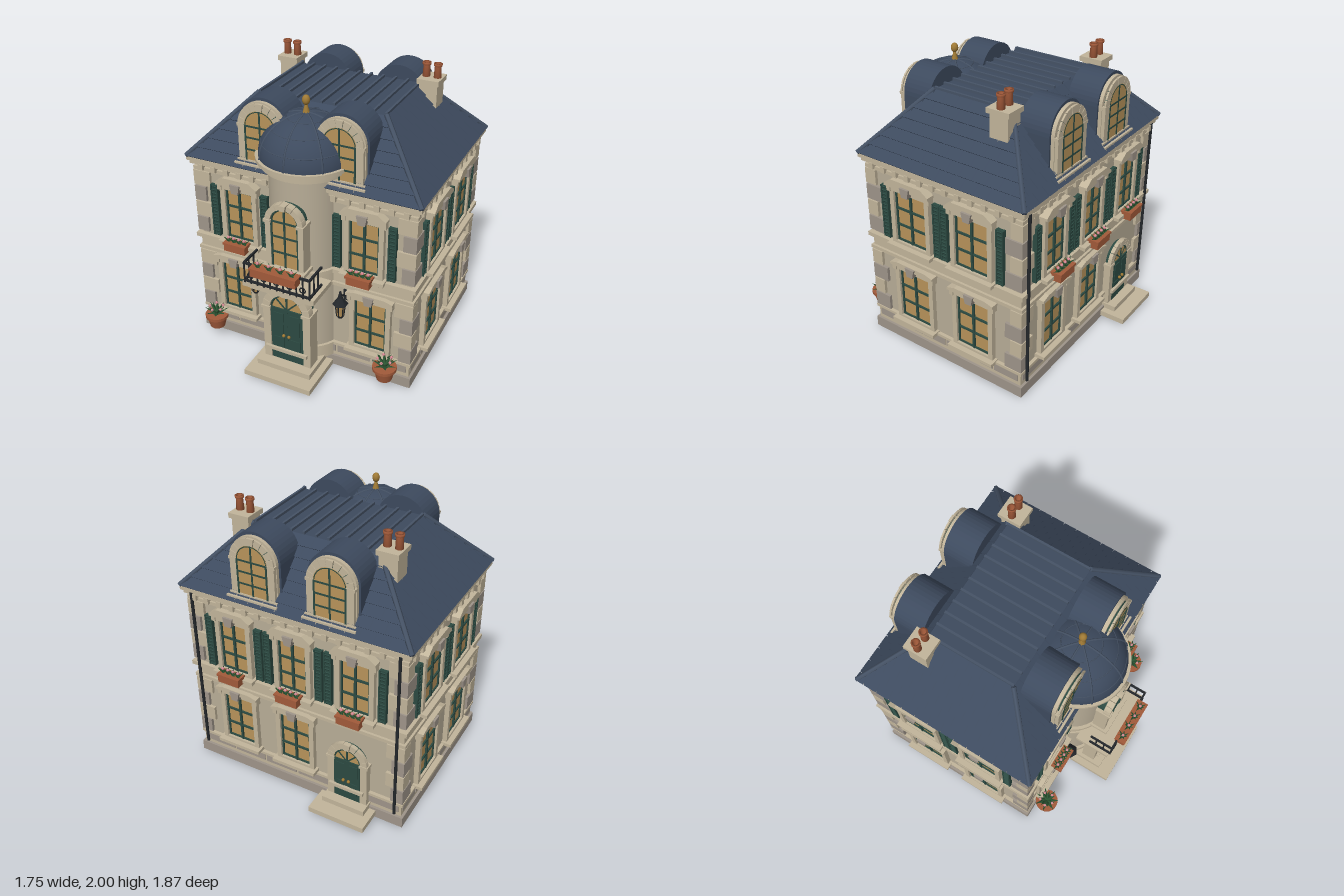
import * as THREE from 'three';

const C = { wall: 0xb8ad97, trim: 0xc2b59b, stone: 0x9f958a, roof: 0x3d4a5e, seam: 0x465366, green: 0x2c4a42,
  glass: 0xb8935a, clay: 0xa25a3a, iron: 0x23272b, gold: 0xa07a35, leaf: 0x2f5a36, pink: 0xd58a94 };
const mats = {};
const mat = (c) => mats[c] ??= new THREE.MeshStandardMaterial({ color: c });

function add(parent, name, geo, color, x = 0, y = 0, z = 0) {
  const m = new THREE.Mesh(geo, mat(color));
  m.name = name;
  m.position.set(x, y, z);
  parent.add(m);
  return m;
}
const box = (p, name, c, w, h, d, x, y, z) => add(p, name, new THREE.BoxGeometry(w, h, d), c, x, y, z);
const cyl = (p, name, c, rt, rb, h, x, y, z, n = 16) => add(p, name, new THREE.CylinderGeometry(rt, rb, h, n), c, x, y, z);
const extrude = (shape, depth) => new THREE.ExtrudeGeometry(shape, { depth, bevelEnabled: false, curveSegments: 10 });
const poly = (pts) => new THREE.Shape(pts.map(([x, y]) => new THREE.Vector2(x, y)));
const rect = (w, y0, y1) => poly([[-w, y0], [w, y0], [w, y1], [-w, y1]]);
function group(parent, name, x = 0, y = 0, z = 0, ry = 0) {
  const g = new THREE.Group();
  g.name = name;
  g.position.set(x, y, z);
  g.rotation.y = ry;
  parent.add(g);
  return g;
}
function rod(parent, name, c, a, b, r, n = 6) {
  const d = new THREE.Vector3().subVectors(b, a);
  const m = cyl(parent, name, c, r, r, d.length(), 0, 0, 0, n);
  m.position.copy(a).addScaledVector(d, 0.5);
  m.quaternion.setFromUnitVectors(new THREE.Vector3(0, 1, 0), d.normalize());
}
function archShape(hw, y0, spring) {
  const s = new THREE.Shape();
  s.moveTo(-hw, y0);
  s.lineTo(hw, y0);
  s.lineTo(hw, spring);
  s.absarc(0, spring, hw, 0, Math.PI, false);
  return s;
}

// Leafy plant with small flowers
function plant(parent, x, y, z, len, leaves, flowers) {
  const g = group(parent, 'plant', x, y, z);
  for (let i = 0; i < leaves; i++) {
    const geo = new THREE.ConeGeometry(len * 0.22, len, 4).scale(1, 1, 0.4).translate(0, len / 2, 0);
    geo.rotateX(i % 2 ? 1.15 : 0.7).rotateY((i / leaves) * Math.PI * 2);
    add(g, 'leaf', geo, C.leaf);
  }
  for (let i = 0; i < flowers; i++) {
    const a = (i / flowers) * Math.PI * 2 + 0.4, r = flowers > 1 ? len * 0.5 : 0;
    add(g, 'flower', new THREE.IcosahedronGeometry(0.012, 0), C.pink, Math.cos(a) * r, len * 0.62, Math.sin(a) * r);
  }
}
function flowerBox(parent, w, n, x, y, z) {
  const g = group(parent, 'flowerBox', x, y, z);
  box(g, 'trough', C.clay, w, 0.055, 0.07, 0, 0, 0);
  box(g, 'troughRim', C.clay, w + 0.012, 0.015, 0.082, 0, 0.03, 0);
  for (let i = 0; i < n; i++) plant(g, ((i + 0.5) / n - 0.5) * w, 0.035, 0, 0.05, 7, 1);
}

// Rectangular window on a wall facing +z
function windowUnit(face, x, y0, w, h, upper, boxed) {
  const g = group(face, upper ? 'upperWindow' : 'lowerWindow', x, y0, 0);
  const hw = w / 2, surround = rect(hw + 0.035, -0.03, h + 0.04);
  surround.holes.push(rect(hw, 0, h));
  add(g, 'surround', extrude(surround, 0.035), C.trim);
  box(g, 'glass', C.glass, w, h, 0.012, 0, h / 2, 0.002);
  for (const s of [-1, 1]) {
    box(g, 'sash', C.green, 0.012, h, 0.02, s * (hw - 0.006), h / 2, 0.008);
    box(g, 'sash', C.green, w, 0.012, 0.02, 0, s > 0 ? h - 0.006 : 0.006, 0.008);
    box(g, 'muntin', C.green, w, 0.013, 0.02, 0, h * (s > 0 ? 0.66 : 0.33), 0.01);
    box(g, 'lintelBracket', C.trim, 0.03, 0.05, 0.045, s * (hw + 0.035), h + 0.02, 0.022);
    box(g, 'sillBracket', C.trim, 0.03, 0.03, 0.045, s * hw, -0.055, 0.022);
  }
  box(g, 'mullion', C.green, 0.016, h, 0.024, 0, h / 2, 0.01);
  box(g, 'sill', C.trim, w + 0.11, 0.025, 0.075, 0, -0.03, 0.037);
  const a = hw + 0.055, rise = upper ? 0.06 : 0.035;
  add(g, 'hood', extrude(poly([[-a, 0], [a, 0], [a, 0.018], [a - 0.06, rise], [-a + 0.06, rise], [-a, 0.018]]), 0.06), C.trim, 0, h + 0.04);
  add(g, 'keystone', extrude(poly([[-0.025, 0], [0.025, 0], [0.038, 0.065], [-0.038, 0.065]]), 0.075), C.stone, 0, h + 0.005);
  if (upper) for (const s of [-1, 1]) shutter(g, s * (hw + 0.09), h);
  if (boxed) flowerBox(g, 0.165, 4, 0, -0.025, 0.09);
}
function shutter(parent, x, h) {
  const g = group(parent, 'shutter', x, h / 2, 0.015);
  box(g, 'shutterPanel', C.green, 0.05, h + 0.02, 0.02, 0, 0, 0);
  for (const s of [-1, 1]) box(g, 'shutterStile', C.green, 0.01, h + 0.02, 0.032, s * 0.023, 0, 0);
  for (let i = 0; i <= 14; i++) box(g, 'slat', C.green, 0.045, 0.011, 0.03, 0, (i / 14 - 0.5) * h, 0).rotation.x = 0.4;
}

// Round-headed opening: green frame, glazing, stone jambs and voussoirs
function archUnit(parent, name, hw, y0, spring, ring, depth, door, x = 0, z = 0) {
  const g = group(parent, name, x, 0, z);
  add(g, 'frame', extrude(archShape(hw + ring * 0.55, y0, spring), depth * 0.8), C.green);
  add(g, 'glass', extrude(archShape(hw, y0 + 0.01, spring), 0.006), C.glass, 0, 0, depth * 0.8);
  const n = 9, zf = depth * 0.85;
  for (let i = 0; i < n; i++) {
    const a0 = (i / n) * Math.PI + 0.012, a1 = ((i + 1) / n) * Math.PI - 0.012, s = new THREE.Shape();
    s.absarc(0, spring, hw + ring, a0, a1, false);
    s.absarc(0, spring, hw, a1, a0, true);
    add(g, 'voussoir', extrude(s, depth * (i === 4 ? 0.65 : 0.5)), C.trim, 0, 0, depth * 0.5);
  }
  const h = spring - y0;
  for (const s of [-1, 1]) {
    box(g, 'jamb', C.trim, ring, h, depth * 0.95, s * (hw + ring / 2), y0 + h / 2, depth * 0.5);
    box(g, 'impost', C.trim, ring + 0.015, 0.02, depth * 1.1, s * (hw + ring / 2), spring, depth * 0.55);
  }
  box(g, 'mullion', C.green, 0.012, h + hw, 0.016, 0, y0 + (h + hw) / 2, zf);
  add(g, 'archBead', new THREE.TorusGeometry(hw - 0.006, 0.008, 4, 14, Math.PI), C.green, 0, spring, zf);
  if (door) {
    for (const s of [-1, 1]) {
      box(g, 'doorLeaf', C.green, hw - 0.004, h, 0.015, s * hw / 2, y0 + h / 2, zf);
      for (const [py, ph] of [[0.3, 0.3], [0.73, 0.4]]) box(g, 'doorPanel', C.green, hw * 0.6, h * ph, 0.02, s * hw / 2, y0 + h * py, zf + 0.003);
      add(g, 'knob', new THREE.SphereGeometry(0.012, 8, 6), C.gold, s * 0.02, y0 + h * 0.52, zf + 0.022);
      const bar = box(g, 'fanBar', C.green, 0.01, hw, 0.012, s * hw * 0.35, spring + hw * 0.36, zf);
      bar.rotation.z = -s * 0.77;
    }
    box(g, 'transom', C.green, hw * 2, 0.016, 0.022, 0, spring, zf);
    box(g, 'threshold', C.trim, 2 * (hw + ring) - 0.04, 0.025, 0.02, 0, y0 + 0.1, depth + 0.012);
  } else {
    for (const s of [-1, 1]) box(g, 'sash', C.green, 0.012, h, 0.016, s * (hw - 0.006), y0 + h / 2, zf);
    for (const t of [0.34, 0.68, 1]) box(g, 'muntin', C.green, hw * 2, 0.012, 0.016, 0, y0 + h * t, zf);
    box(g, 'archSill', C.trim, 2 * (hw + ring) + 0.03, 0.025, depth * 1.3, 0, y0 - 0.005, depth * 0.6);
  }
}
function steps(parent, w, x, z, run) {
  box(parent, 'lowerStep', C.trim, w, 0.04, run, x, 0.04, z + run / 2);
  box(parent, 'upperStep', C.trim, w - 0.1, 0.04, run - 0.1, x, 0.08, z + (run - 0.1) / 2);
}

// Overlapping slates on one slope; local +z is outward
function slates(parent, lb, lt, db, dt, yb, yt, ry) {
  const pos = [], rows = 7, pitch = 0.1, n = new THREE.Vector2(yt - yb, db - dt).normalize();
  const P = (x, v, lift) => {
    const L = lb + (lt - lb) * v;
    return [THREE.MathUtils.clamp(x, -L, L), yb + (yt - yb) * v + n.y * lift, db + (dt - db) * v + n.x * lift];
  };
  const quad = (a, b, c, d) => pos.push(...a, ...b, ...c, ...a, ...c, ...d);
  for (let r = 0; r < rows; r++) {
    const v0 = r / rows, v1 = (r + 1) / rows, L = lb + (lt - lb) * v0;
    for (let x = -Math.ceil(L / pitch) * pitch - (r % 2) * pitch / 2; x < L; x += pitch) {
      const x1 = x + pitch - 0.004;
      if (x1 < -L) continue;
      const a = P(x, v0, 0.014), b = P(x1, v0, 0.014);
      quad(a, b, P(x1, v1, 0.003), P(x, v1, 0.003));
      quad(P(x, v0, 0), P(x1, v0, 0), b, a);
    }
  }
  const geo = new THREE.BufferGeometry();
  geo.setAttribute('position', new THREE.Float32BufferAttribute(pos, 3));
  geo.computeVertexNormals();
  add(parent, 'slates', geo, C.roof).rotation.y = ry;
}

export function createModel() {
  const root = new THREE.Group();
  root.name = 'townhouse';
  const W = 0.8, D = 0.615, house = group(root, 'house', 0, 0, -0.105);

  // Walls and horizontal mouldings
  box(house, 'plinth', C.stone, 1.66, 0.08, 1.29, 0, 0.04, 0);
  box(house, 'walls', C.wall, W * 2, 1.35, D * 2, 0, 0.745, 0);
  for (const [y, h, o] of [[0.13, 0.1, 0.012], [0.185, 0.02, 0.025], [0.7, 0.025, 0.025], [0.755, 0.08, 0.01], [0.805, 0.03, 0.035],
    [1.34, 0.025, 0.02], [1.39, 0.03, 0.035], [1.415, 0.025, 0.05]]) box(house, 'moulding', C.trim, (W + o) * 2, h, (D + o) * 2, 0, y, 0);
  for (const sx of [-1, 1]) for (const sz of [-1, 1]) {
    for (let i = 0; i < 8; i++) {
      const long = i % 2, y = (i < 4 ? 0.255 : 0.9) + (i % 4) * 0.122;
      const w = long ? 0.13 : 0.09, d = long ? 0.09 : 0.13;
      box(house, 'quoin', long ? C.trim : C.stone, w, 0.112, d, sx * (W + 0.022 - w / 2), y, sz * (D + 0.022 - d / 2));
    }
    if (sz < 0) cyl(house, 'drainpipe', C.iron, 0.011, 0.011, 1.28, sx * 0.77, 0.75, -D - 0.035, 8);
  }

  // Wall faces, each with local +z outward
  const [front, right, back, left] = ['front', 'leftSide', 'back', 'rightSide'].map((n, i) => {
    const d = i % 2 ? W : D;
    return group(house, n + 'Face', [0, d, 0, -d][i], 0, [d, 0, -d, 0][i], i * Math.PI / 2);
  });
  for (const [face, half] of [[front, W], [back, W], [right, D], [left, D]]) {
    const n = Math.round(half * 2 / 0.1);
    for (let i = 0; i < n; i++) box(face, 'modillion', C.trim, 0.035, 0.045, 0.04, ((i + 0.5) / n - 0.5) * 2 * half, 1.36, 0.02);
    for (let i = 0; i < 6; i++) box(face, 'baseBlock', C.stone, half / 3 - 0.015, 0.055, 0.02, (i - 2.5) * half / 3, 0.14, 0.008);
  }
  for (const s of [-1, 1]) {
    windowUnit(front, s * 0.52, 0.24, 0.23, 0.38, false, false);
    windowUnit(front, s * 0.465, 0.85, 0.21, 0.38, true, true);
    for (const side of [left, right]) {
      windowUnit(side, s * 0.25, 0.22, 0.26, 0.39, false, false);
      windowUnit(side, s * 0.25, 0.85, 0.26, 0.38, true, false);
    }
  }
  for (const x of [-0.46, 0, 0.46]) {
    windowUnit(back, x, 0.85, 0.21, 0.38, true, true);
    if (x <= 0) windowUnit(back, x, 0.24, 0.23, 0.38, false, false);
  }
  archUnit(back, 'backDoor', 0.1, 0.1, 0.43, 0.05, 0.055, true, 0.42);
  steps(back, 0.42, 0.42, 0, 0.22);

  // Lanterns and potted plants beside the entrance
  for (const s of [-1, 1]) {
    const l = group(front, 'lantern', s * 0.33, 0.49, 0.09);
    cyl(l, 'lanternGlass', C.glass, 0.033, 0.023, 0.1, 0, 0.06, 0, 6);
    cyl(l, 'lanternBase', C.iron, 0.03, 0.02, 0.015, 0, 0.005, 0, 6);
    cyl(l, 'lanternHood', C.iron, 0.015, 0.055, 0.05, 0, 0.135, 0, 6);
    cyl(l, 'lanternCap', C.iron, 0.006, 0.018, 0.05, 0, 0.185, 0, 6);
    for (let i = 0; i < 6; i++) {
      const a = i * Math.PI / 3, c = Math.sin(a), d = Math.cos(a);
      rod(l, 'lanternBar', C.iron, new THREE.Vector3(c * 0.024, 0.01, d * 0.024), new THREE.Vector3(c * 0.034, 0.11, d * 0.034), 0.005, 4);
    }
    rod(l, 'lanternArm', C.iron, new THREE.Vector3(0, 0.17, 0), new THREE.Vector3(0, 0.13, -0.09), 0.008);
    box(l, 'lanternPlate', C.iron, 0.03, 0.08, 0.012, 0, 0.13, -0.085);
    const p = group(root, 'pottedPlant', s * 0.67, 0.095, 0.615);
    cyl(p, 'pot', C.clay, 0.075, 0.055, 0.085, 0, 0.043, 0);
    cyl(p, 'potRim', C.clay, 0.085, 0.085, 0.022, 0, 0.092, 0);
    plant(p, 0, 0.1, 0, 0.1, 14, 5);
  }

  // Hipped roof with standing-seam top
  const YB = 1.43, YT = 1.835, RX = 0.85, RZ = 0.665, TX = 0.46, TZ = 0.31;
  const core = new THREE.BoxGeometry(RX * 2, YT - YB, RZ * 2), cp = core.attributes.position;
  for (let i = 0; i < cp.count; i++) if (cp.getY(i) > 0) cp.setXYZ(i, Math.sign(cp.getX(i)) * TX, cp.getY(i), Math.sign(cp.getZ(i)) * TZ);
  core.computeVertexNormals();
  add(house, 'roofCore', core, C.roof, 0, (YB + YT) / 2);
  for (let i = 0; i < 4; i++) slates(house, ...(i % 2 ? [RZ, TZ, RX, TX] : [RX, TX, RZ, TZ]), YB, YT, i * Math.PI / 2);
  for (let i = 0; i <= 10; i++) box(house, 'roofSeam', C.seam, 0.016, 0.022, TZ * 2, (i / 5 - 1) * (TX - 0.005), YT + 0.007, 0);
  for (const sx of [-1, 1]) for (const sz of [-1, 1])
    rod(house, 'hipRidge', C.seam, new THREE.Vector3(sx * RX, YB + 0.005, sz * RZ), new THREE.Vector3(sx * TX, YT + 0.005, sz * TZ), 0.017);

  // Barrel dormers, front and back
  for (const face of [front, back]) for (const s of [-1, 1]) {
    const d = group(face, 'dormer', s * 0.28, 0, 0);
    add(d, 'dormerBody', extrude(archShape(0.185, 1.44, 1.735), 0.22), C.roof, 0, 0, -0.26);
    add(d, 'dormerFront', extrude(archShape(0.17, 1.44, 1.73), 0.03), C.trim, 0, 0, -0.045);
    archUnit(d, 'dormerWindow', 0.115, 1.48, 1.73, 0.05, 0.025, false, 0, -0.015);
    box(d, 'dormerSill', C.trim, 0.38, 0.03, 0.08, 0, 1.455, 0);
  }

  // Chimneys
  for (const s of [-1, 1]) {
    const c = group(root, 'chimney', s * 0.535, 0, -0.405);
    box(c, 'stack', C.trim, 0.13, 0.22, 0.135, 0, 1.76, 0);
    box(c, 'stackCap', C.trim, 0.155, 0.035, 0.17, 0, 1.88, 0);
    for (const t of [-1, 1]) {
      const pot = [[0, 0], [0.027, 0], [0.023, 0.08], [0.03, 0.083], [0.03, 0.1], [0.018, 0.1], [0.018, 0.05], [0, 0.05]];
      add(c, 'chimneyPot', new THREE.LatheGeometry(pot.map(([r, y]) => new THREE.Vector2(r, y)), 12), C.clay, t * 0.04, 1.897);
    }
  }

  // Round entrance tower with ribbed dome
  const tower = group(root, 'tower', 0, 0, 0.41);
  cyl(tower, 'towerWall', C.wall, 0.257, 0.257, 1.46, 0, 0.81, 0, 40);
  for (const [y, h, r] of [[0.13, 0.1, 0.268], [0.185, 0.02, 0.277], [0.7, 0.025, 0.275], [0.755, 0.08, 0.265], [0.805, 0.03, 0.28],
    [1.515, 0.03, 0.3], [1.54, 0.025, 0.322], [1.56, 0.025, 0.337]]) cyl(tower, 'towerRing', C.trim, r, r, h, 0, y, 0, 40);
  const R = 0.317, K = 0.285 / R;
  const dome = group(tower, 'dome', 0, 1.57, 0);
  dome.scale.y = K;
  add(dome, 'domeShell', new THREE.SphereGeometry(R, 32, 12, 0, Math.PI * 2, 0, Math.PI / 2), C.roof);
  for (let i = 0; i < 8; i++) add(dome, 'domeRib', new THREE.TorusGeometry(R, 0.007, 5, 12, Math.PI / 2), C.seam).rotation.y = i * Math.PI / 4;
  for (const a of [0.35, 0.75, 1.15]) add(dome, 'domeRing', new THREE.TorusGeometry(R * Math.cos(a), 0.004, 4, 32).rotateX(Math.PI / 2), C.seam, 0, R * Math.sin(a));
  cyl(tower, 'finialStem', C.gold, 0.008, 0.025, 0.06, 0, 1.88, 0, 10);
  add(tower, 'finialBall', new THREE.SphereGeometry(0.026, 14, 10).scale(1, 1.3, 1), C.gold, 0, 1.937);
  archUnit(tower, 'towerWindow', 0.1, 0.87, 1.215, 0.038, 0.1, false, 0, 0.24);
  archUnit(tower, 'frontDoor', 0.125, 0.1, 0.53, 0.055, 0.11, true, 0, 0.24);
  steps(tower, 0.51, 0, 0.15, 0.365);

  // Balcony with iron railing
  const balcony = group(tower, 'balcony');
  box(balcony, 'balconySlab', C.trim, 0.53, 0.035, 0.26, 0, 0.752, 0.32);
  box(balcony, 'balconyBed', C.trim, 0.47, 0.04, 0.21, 0, 0.715, 0.305);
  const rz = 0.455;
  for (const y of [0.79, 0.925]) {
    box(balcony, 'rail', C.iron, 0.49, 0.014, 0.014, 0, y, rz);
    for (const s of [-1, 1]) box(balcony, 'sideRail', C.iron, 0.014, 0.014, 0.17, s * 0.24, y, rz - 0.085);
  }
  for (let i = 0; i <= 10; i++) {
    const x = (i / 10 - 0.5) * 0.48;
    box(balcony, 'baluster', C.iron, 0.009, 0.155, 0.009, x, 0.85, rz);
    if (i % 2 === 1) add(balcony, 'scroll', new THREE.TorusGeometry(0.02, 0.005, 4, 12), C.iron, x, 0.84, rz + 0.005);
  }
  for (const s of [-1, 1]) for (const t of [0.06, 0.12]) box(balcony, 'baluster', C.iron, 0.009, 0.14, 0.009, s * 0.24, 0.855, rz - t);
  flowerBox(balcony, 0.33, 4, 0, 0.9, 0.475);
  return root;
}
